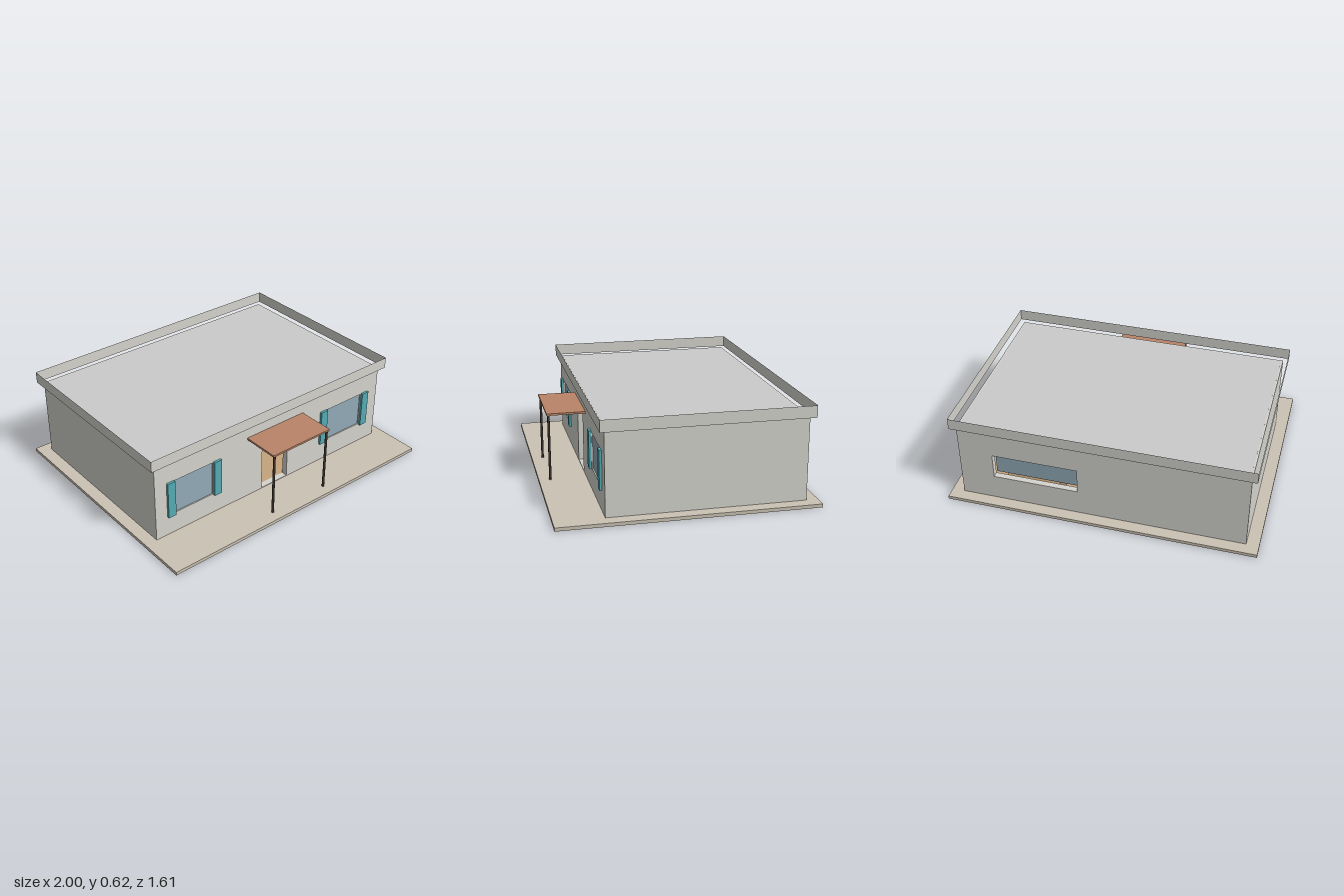
import * as THREE from 'three';

const mat = (color, side = THREE.FrontSide) => new THREE.MeshStandardMaterial({ color, side });

export function createModel() {
  const house = new THREE.Group();
  house.name = 'house';

  const M = {
    wall: mat(0xd5d4ce),
    parapet: mat(0xd5d4ce, THREE.DoubleSide),
    roof: mat(0xc0bfbc),
    slab: mat(0xcbc2b3),
    floor: mat(0xc4a47c),
    glass: mat(0x93abb9),
    shutter: mat(0x55adb5),
    canopy: mat(0xb98468),
    post: mat(0x3c322b),
    wood: mat(0xa98a64),
    darkWood: mat(0x6f5a47),
  };

  const add = (name, geometry, material) => {
    const mesh = new THREE.Mesh(geometry, material);
    mesh.name = name;
    house.add(mesh);
    return mesh;
  };
  // Box given by its limits on each axis
  const box = (name, material, x0, x1, y0, y1, z0, z1) => {
    const mesh = add(name, new THREE.BoxGeometry(x1 - x0, y1 - y0, z1 - z0), material);
    mesh.position.set((x0 + x1) / 2, (y0 + y1) / 2, (z0 + z1) / 2);
    return mesh;
  };
  const rect = (Type, x0, x1, y0, y1) => new Type([
    new THREE.Vector2(x0, y0), new THREE.Vector2(x1, y0),
    new THREE.Vector2(x1, y1), new THREE.Vector2(x0, y1),
  ]);

  const W = 0.92, FRONT = 0.5, BACK = -0.73, BASE = 0.022, TOP = 0.55, T = 0.04;

  // Ground slab and indoor floor
  box('groundSlab', M.slab, -1, 1, 0, BASE, -0.805, 0.805);
  box('indoorFloor', M.floor, -W + T, W - T, BASE, BASE + 0.004, BACK + T, FRONT - T);

  // Long walls with openings
  const longWall = (name, z, openings) => {
    const shape = rect(THREE.Shape, -W, W, BASE, TOP);
    for (const o of openings) shape.holes.push(rect(THREE.Path, ...o));
    const geo = new THREE.ExtrudeGeometry(shape, { depth: T, bevelEnabled: false });
    add(name, geo, M.wall).position.z = z;
  };
  const frontWindows = [[-0.775, -0.49, 0.163, 0.397], [0.46, 0.77, 0.163, 0.397]];
  const door = [-0.095, 0.12, 0.026, 0.41];
  const backWindow = [0.15, 0.7, 0.195, 0.365];
  longWall('frontWall', FRONT - T, [...frontWindows, door]);
  longWall('backWall', BACK, [backWindow]);

  // Side walls
  box('rightWall', M.wall, -W, -W + T, BASE, TOP, BACK + T, FRONT - T);
  box('leftWall', M.wall, W - T, W, BASE, TOP, BACK + T, FRONT - T);

  // Roof plate
  box('roof', M.roof, -0.908, 0.908, TOP - 0.01, TOP + 0.001, BACK + 0.012, FRONT - 0.012);

  // Thin parapet band standing just clear of the walls
  const px = 0.955, pz0 = -0.76, pz1 = 0.53, ph = 0.075;
  const pzMid = (pz0 + pz1) / 2;
  const band = (name, length, x, z, turn) => {
    const mesh = add(name, new THREE.PlaneGeometry(length, ph), M.parapet);
    mesh.position.set(x, TOP + ph / 2, z);
    mesh.rotation.y = turn;
  };
  band('frontParapet', 2 * px, 0, pz1, 0);
  band('backParapet', 2 * px, 0, pz0, Math.PI);
  band('leftParapet', pz1 - pz0, px, pzMid, Math.PI / 2);
  band('rightParapet', pz1 - pz0, -px, pzMid, -Math.PI / 2);

  // Front panes, each with a pair of shutters
  for (const [x0, x1, y0, y1] of frontWindows) {
    box('frontWindowPane', M.glass, x0, x1, y0, y1, FRONT - 0.025, FRONT - 0.008);
    for (const s of [x0 - 0.06, x1 + 0.004])
      box('shutter', M.shutter, s, s + 0.055, 0.155, 0.402, FRONT, FRONT + 0.016);
  }

  // Back pane, hung just inside its opening
  const [bx0, bx1, by0, by1] = backWindow;
  box('backWindowPane', M.glass, bx0, bx1, by0, by1, BACK + T + 0.015, BACK + T + 0.02);

  // Porch canopy on two slim posts
  box('porchCanopy', M.canopy, -0.22, 0.242, 0.449, 0.462, FRONT, 0.745);
  for (const x of [-0.202, 0.229]) {
    const post = add('porchPost', new THREE.CylinderGeometry(0.008, 0.008, 0.427, 16), M.post);
    post.position.set(x, BASE + 0.2135, 0.732);
  }

  // Furniture
  const f = BASE + 0.004;
  box('cabinet', M.wood, -0.42, -0.065, f, 0.14, 0.03, 0.21);
  box('stool', M.darkWood, -0.035, 0.027, f, 0.096, -0.13, -0.07);
  box('sideboard', M.wood, 0.3, 0.65, f, 0.14, -0.685, -0.5);

  return house;
}
